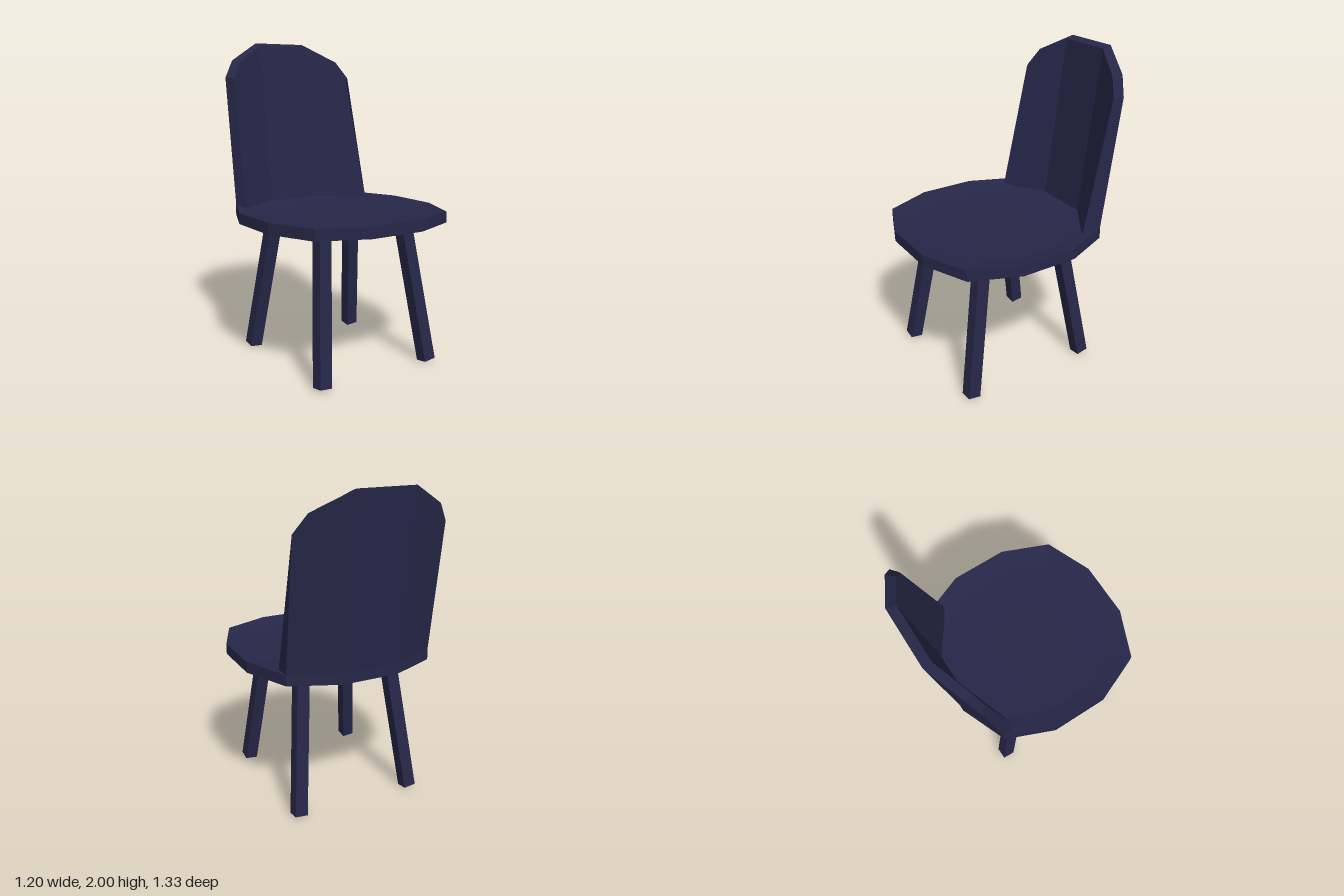
import * as THREE from 'three';

const material = new THREE.MeshStandardMaterial({ color: 0x262748 });

// Average normal of a polygon, so slightly twisted panels still shade as one face.
function polygonNormal(p) {
  const n = new THREE.Vector3();
  p.forEach((a, i) => {
    const b = p[(i + 1) % p.length];
    n.add(new THREE.Vector3(...a).cross(new THREE.Vector3(...b)));
  });
  return n.normalize().toArray();
}

// Builds a faceted mesh from polygons listed counter-clockwise from outside.
function facetMesh(name, polygons) {
  const pos = [], normals = [];
  for (const p of polygons) {
    const n = polygonNormal(p);
    for (let i = 1; i < p.length - 1; i++) {
      pos.push(...p[0], ...p[i], ...p[i + 1]);
      normals.push(...n, ...n, ...n);
    }
  }
  const geo = new THREE.BufferGeometry();
  geo.setAttribute('position', new THREE.Float32BufferAttribute(pos, 3));
  geo.setAttribute('normal', new THREE.Float32BufferAttribute(normals, 3));
  const mesh = new THREE.Mesh(geo, material);
  mesh.name = name;
  return mesh;
}

// Twelve-sided seat: shallow dished top, upright rim, matching rounded underside.
function createSeat() {
  let quarter = [[0.6, 0.18], [0.477, 0.477], [0.18, 0.6]];
  const outline = [];
  for (let q = 0; q < 4; q++) {
    outline.push(...quarter);
    quarter = quarter.map(([x, z]) => [-z, x]);
  }
  const rings = [[0.4, 0.916], [0.8, 0.936], [1, 0.96], [1, 0.892], [0.8, 0.867], [0.4, 0.847]]
    .map(([s, y]) => outline.map(([x, z]) => [x * s, y, z * s + 0.065]));
  const polys = [[...rings[0]].reverse(), rings[5]];
  for (let r = 0; r < 5; r++)
    for (let i = 0; i < 12; i++) {
      const j = (i + 1) % 12;
      polys.push([rings[r][i], rings[r][j], rings[r + 1][j], rings[r + 1][i]]);
    }
  return facetMesh('seat', polys);
}

// Backrest: a centre panel and two wings folded forward, with a rounded top.
function createBackrest() {
  const mirror = (pts) => pts.map(([x, y, z]) => [-x, y, z]);
  // Points run: inner bottom, outer bottom, outer top, shoulder, crown.
  const frontTop = [[0.435, 1.765, -0.487], [0.37, 1.87, -0.525], [0.175, 1.985, -0.61]];
  const frontR = [[0.175, 0.93, -0.471], [0.466, 0.93, -0.278], ...frontTop];
  const frontL = mirror([[0.175, 0.93, -0.471], [0.454, 0.93, -0.314], ...frontTop]);
  const backR = [[0.18, 0.93, -0.531], [0.476, 0.93, -0.407], [0.477, 1.77, -0.525],
    [0.405, 1.88, -0.57], [0.182, 2, -0.665]];
  const backL = mirror(backR);
  const centre = (r, l) => [r[0], r[4], l[4], l[0]];
  const polys = [frontR, [...frontL].reverse(), centre(frontR, frontL),
    [...backR].reverse(), backL, centre(backR, backL).reverse()];
  const front = [...frontR, ...[...frontL].reverse()];
  const back = [...backR, ...[...backL].reverse()];
  front.forEach((f, i) => {
    const j = (i + 1) % front.length;
    polys.push([f, back[i], back[j], front[j]]);
  });
  return facetMesh('backrest', polys);
}

// Square leg splayed outward towards its corner.
function createLeg(sx, sz) {
  const foot = new THREE.Vector3(sx * 0.39, 0.011, sz * 0.425 + 0.057);
  const top = new THREE.Vector3(sx * 0.3, 0.87, sz * 0.283 + 0.057);
  const axis = top.clone().sub(foot);
  const leg = new THREE.Mesh(new THREE.BoxGeometry(0.08, axis.length(), 0.08), material);
  leg.position.copy(foot).add(top).multiplyScalar(0.5);
  leg.quaternion.setFromUnitVectors(new THREE.Vector3(0, 1, 0), axis.normalize());
  leg.name = (sz > 0 ? 'front' : 'back') + (sx > 0 ? 'Left' : 'Right') + 'Leg';
  return leg;
}

export function createModel() {
  const chair = new THREE.Group();
  chair.name = 'chair';
  chair.add(createSeat(), createBackrest());
  for (const sx of [1, -1]) for (const sz of [1, -1]) chair.add(createLeg(sx, sz));
  return chair;
}
